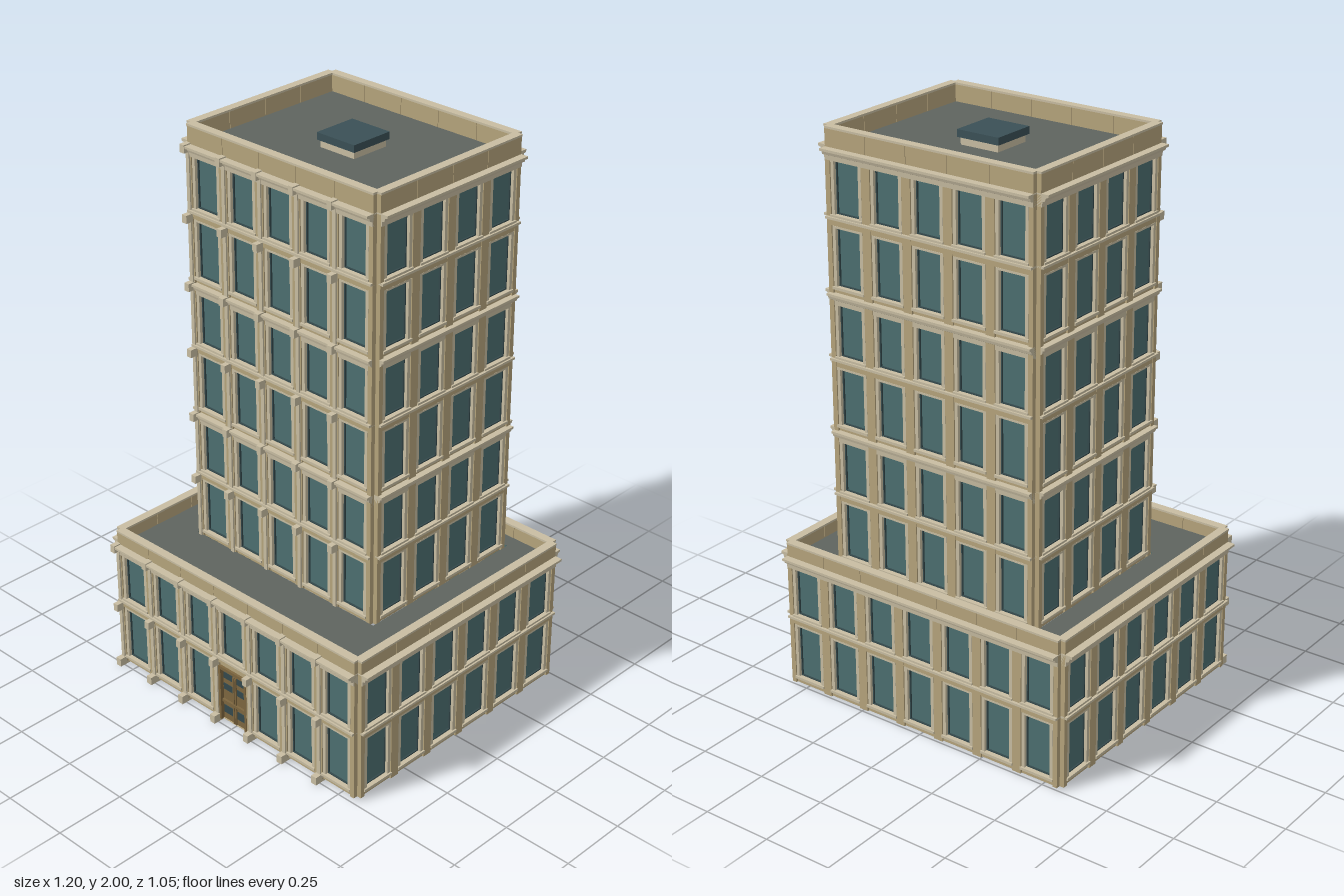
import * as THREE from 'three';
import { mergeGeometries } from 'three/addons/utils/BufferGeometryUtils.js';

const mat = (color) => new THREE.MeshStandardMaterial({ color, side: THREE.DoubleSide });
const WALL = mat(0xb5a47c), TRIM = mat(0xc8bda2), GLASS = mat(0x4c6f70);
const FRAME = mat(0x34494c), ROOF = mat(0x5f645f), WOOD = mat(0x7d663f), SKY = mat(0x3a5056);
const BAY = 0.16, STOREY = 0.24, GROUND = 0.01;

// Box given by its limits on each axis
function box(x0, x1, y0, y1, z0, z1) {
  return new THREE.BoxGeometry(x1 - x0, y1 - y0, z1 - z0)
    .translate((x0 + x1) / 2, (y0 + y1) / 2, (z0 + z1) / 2);
}

function rect(Type, x0, x1, y0, y1) {
  return new Type([[x0, y0], [x1, y0], [x1, y1], [x0, y1]].map((p) => new THREE.Vector2(...p)));
}

function pathRect(x0, x1, y0, y1) {
  return new THREE.Path([[x0, y0], [x0, y1], [x1, y1], [x1, y0]].map((p) => new THREE.Vector2(...p)));
}

// Stepped moulding running along x, projecting towards +z
function moulding(length, y, reach) {
  const k = reach / 0.04;
  const profile = [[0, -0.032], [0.018, -0.032], [0.019, -0.016], [0.028, -0.012], [0.031, -0.002],
    [0.04, 0.001], [0.04, 0.009], [0, 0.009]];
  const shape = new THREE.Shape(profile.map(([w, h]) => new THREE.Vector2(w * k, h)));
  return new THREE.ExtrudeGeometry(shape, { depth: length, bevelEnabled: false })
    .rotateY(-Math.PI / 2).translate(length / 2, y, 0);
}

function addMerged(group, name, geometries, material) {
  if (!geometries.length) return;
  const flat = geometries.map((g) => (g.index ? g.toNonIndexed() : g));
  const mesh = new THREE.Mesh(mergeGeometries(flat), material);
  mesh.name = name;
  group.add(mesh);
}

// One facade: local z = 0 is the wall line, +z points outwards
function facade(name, bays, first, count, { front = false, door = false } = {}) {
  const g = new THREE.Group();
  g.name = name;
  const half = bays * BAY / 2;
  const bottom = GROUND + first * STOREY, top = bottom + count * STOREY;
  const wallShape = rect(THREE.Shape, -half, half, bottom, top);
  const trim = [], glass = [], frames = [], piers = [], parapet = [], pilasters = [];

  for (let s = 0; s < count; s++) {
    const y = bottom + s * STOREY;
    for (let b = 0; b < bays; b++) {
      const x = -half + (b + 0.5) * BAY;
      if (door && s === 0 && b === (bays - 1) / 2) {
        wallShape.holes.push(pathRect(x - 0.065, x + 0.065, y + 0.001, y + 0.215));
        continue;
      }
      // Window: opening, dark frame, pane, jambs, head and sill
      const y0 = y + 0.03, y1 = y + 0.22;
      wallShape.holes.push(pathRect(x - 0.05, x + 0.05, y0 - 0.004, y1 + 0.004));
      glass.push(box(x - 0.05, x + 0.05, y0 - 0.004, y1 + 0.004, -0.006, -0.003));
      for (const k of [-1, 1]) {
        frames.push(box(x + k * 0.0475 - 0.0025, x + k * 0.0475 + 0.0025, y0, y1, -0.006, 0.003));
        trim.push(box(x + k * 0.055 - 0.006, x + k * 0.055 + 0.006, y0 - 0.004, y1 + 0.004, 0, 0.014));
      }
      frames.push(box(x - 0.05, x + 0.05, y0 - 0.004, y0 + 0.001, -0.006, 0.003));
      frames.push(box(x - 0.05, x + 0.05, y1 - 0.001, y1 + 0.004, -0.006, 0.003));
      trim.push(box(x - 0.061, x + 0.061, y1 + 0.002, y1 + 0.009, 0, 0.014));
      trim.push(box(x - 0.064, x + 0.064, y0 - 0.012, y0 - 0.003, 0, 0.02));
    }
    // Belt between storeys, or a full moulding on every second one
    if ((first + s) % 2 === 1) trim.push(moulding(2 * half, y + STOREY - 0.005, s === count - 1 ? 0.042 : 0.032));
    else {
      piers.push(box(-half, half, y + STOREY - 0.01, y + STOREY + 0.012, 0, 0.015));
      trim.push(box(-half, half, y + STOREY + 0.012, y + STOREY + 0.02, 0, 0.026));
    }
    // Piers between the windows
    for (let b = 0; b <= bays; b++) {
      const x = -half + b * BAY;
      piers.push(box(Math.max(x - 0.017, -half), Math.min(x + 0.017, half), y, y + STOREY, 0, 0.016));
    }
    // Slim pilasters with capital and foot
    for (let b = 0; front && b < bays; b++) {
      const x = -half + b * BAY + 0.006;
      pilasters.push(box(x - 0.007, x + 0.007, y, y + STOREY, 0, 0.022));
      pilasters.push(box(x - 0.01, x + 0.01, y + STOREY - 0.02, y + STOREY + 0.008, 0, 0.044));
      if (first + s === 0) pilasters.push(box(x - 0.011, x + 0.011, 0, 0.03, 0, 0.044));
    }
  }
  // Parapet blocks, one per bay
  const parapetTop = top + 0.06 + (first ? 0.01 : -0.005);
  for (let b = 0; b < bays; b++) {
    const x = -half + b * BAY;
    parapet.push(box(x + 0.001, x + BAY - 0.001, top - 0.005, parapetTop - 0.007, -0.012, 0.015));
    trim.push(box(x, x + BAY, parapetTop - 0.007, parapetTop, -0.014, 0.017));
  }
  const wall = new THREE.ExtrudeGeometry(wallShape, { depth: 0.018, bevelEnabled: false }).translate(0, 0, -0.009);
  addMerged(g, 'wall', [wall], WALL);
  addMerged(g, 'piers', piers, WALL);
  addMerged(g, 'parapet', parapet, WALL);
  addMerged(g, 'trim', trim, TRIM);
  addMerged(g, 'pilasters', pilasters, TRIM);
  addMerged(g, 'windowPanes', glass, GLASS);
  addMerged(g, 'windowFrames', frames, FRAME);
  if (door) g.add(entrance());
  return g;
}

// Double door with three rows of panes
function entrance() {
  const g = new THREE.Group();
  g.name = 'entranceDoor';
  const wood = [box(-0.065, 0.065, 0.01, 0.226, -0.008, 0.004)], panes = [];
  for (const k of [-1, 1]) {
    wood.push(box(k * 0.061 - 0.005, k * 0.061 + 0.005, 0.01, 0.226, 0, 0.018));
    wood.push(box(k * 0.005 - 0.003, k * 0.005 + 0.003, 0.01, 0.2, 0, 0.009));
    for (const [y, h] of [[0.19, 0.024], [0.145, 0.024], [0.052, 0.03]]) {
      panes.push(box(k * 0.032 - 0.021, k * 0.032 + 0.021, y - h / 2, y + h / 2, 0, 0.0065));
    }
  }
  wood.push(box(-0.065, 0.065, 0.216, 0.228, 0, 0.018), box(-0.06, 0.06, 0.082, 0.092, 0, 0.012));
  addMerged(g, 'doorLeaves', wood, WOOD);
  addMerged(g, 'doorPanes', panes, FRAME);
  return g;
}

// Four facades around a rectangle of bays
function block(name, nx, nz, cz, first, count, door) {
  const g = new THREE.Group();
  g.name = name;
  g.position.z = cz;
  const hx = nx * BAY / 2, hz = nz * BAY / 2;
  const sides = [
    ['front', nx, 0, 0, hz], ['left', nz, Math.PI / 2, hx, 0],
    ['back', nx, Math.PI, 0, -hz], ['right', nz, -Math.PI / 2, -hx, 0],
  ];
  for (const [label, bays, turn, x, z] of sides) {
    const isFront = label === 'front';
    const f = facade(label + 'Facade', bays, first, count, { front: isFront, door: door && isFront });
    f.rotation.y = turn;
    f.position.set(x, 0, z);
    g.add(f);
  }
  return g;
}

export function createModel() {
  const model = new THREE.Group();
  model.name = 'officeTower';
  const baseZ = -0.006, towerZ = -0.086;
  model.add(block('base', 7, 6, baseZ, 0, 2, true));
  model.add(block('tower', 5, 4, towerZ, 2, 6, false));

  // Base roof, open beneath the tower
  const deck = rect(THREE.Shape, -0.555, 0.555, -0.475 - baseZ, 0.475 - baseZ);
  deck.holes.push(pathRect(-0.415, 0.415, -0.335 - towerZ + 0, 0.335 - towerZ));
  const deckGeometry = new THREE.ShapeGeometry(deck).rotateX(-Math.PI / 2).translate(0, 0.495, 0);
  addMerged(model, 'baseRoof', [deckGeometry], ROOF);
  addMerged(model, 'towerRoof', [box(-0.395, 0.395, 1.925, 1.935, towerZ - 0.315, towerZ + 0.315)], ROOF);

  // Skylight on its curb
  addMerged(model, 'skylightCurb', [box(-0.072, 0.072, 1.935, 1.96, towerZ - 0.072, towerZ + 0.072)], TRIM);
  addMerged(model, 'skylight', [box(-0.08, 0.08, 1.96, 1.985, towerZ - 0.08, towerZ + 0.08)], SKY);
  return model;
}
